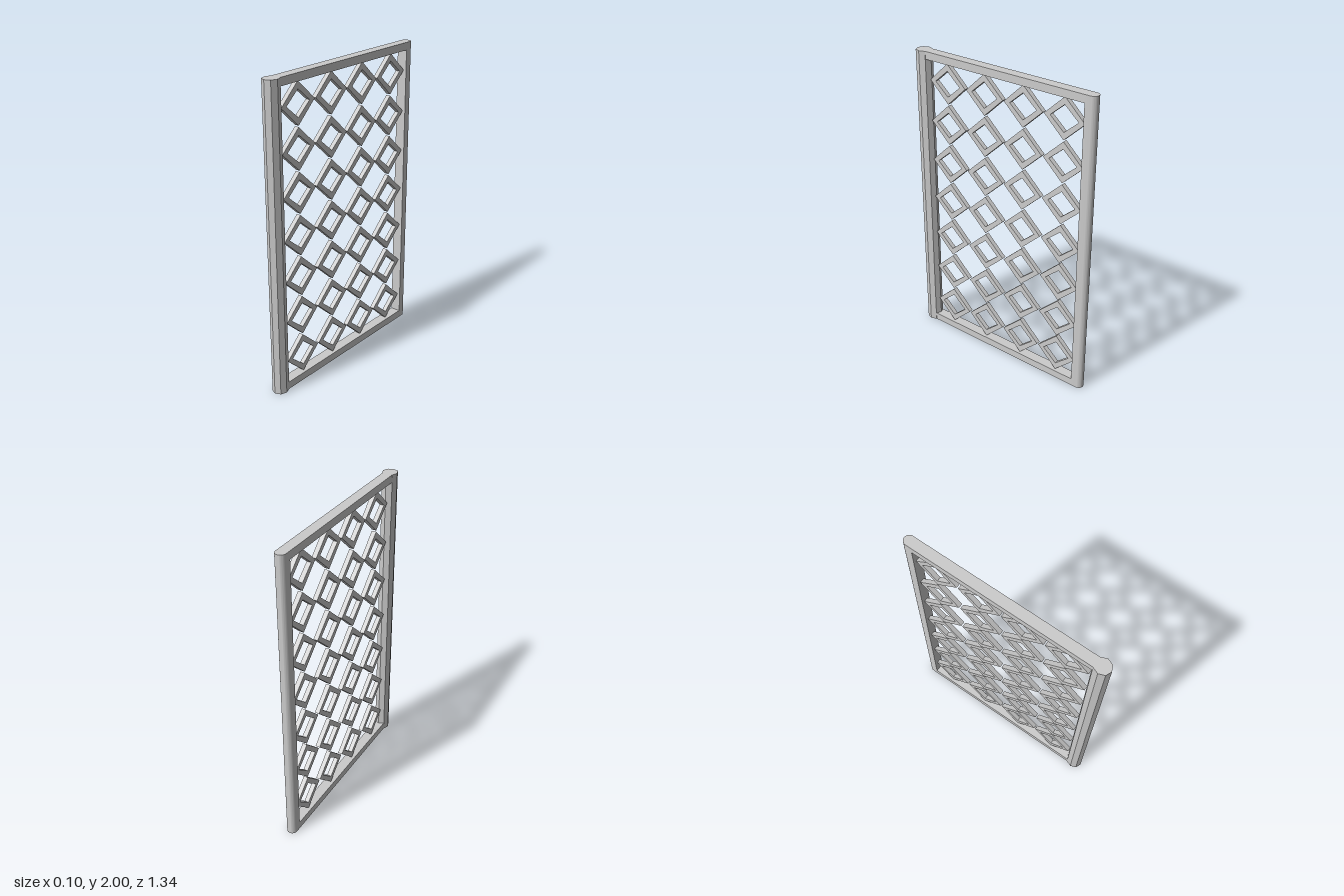
import * as THREE from 'three';
import { toCreasedNormals } from 'three/addons/utils/BufferGeometryUtils.js';

const HEIGHT = 2;
const RAIL = 0.05;      // rail height
const HALF = 0.034;     // half the frame thickness

export function createModel() {
  const group = new THREE.Group();
  const material = new THREE.MeshStandardMaterial({ color: 0xcccccc });

  const add = (name, geometry, x = 0, y = 0, z = 0) => {
    const mesh = new THREE.Mesh(geometry, material);
    mesh.name = name;
    mesh.position.set(x, y, z);
    group.add(mesh);
    return mesh;
  };

  // Upright post from a plan outline; the outline's +y points to -z
  const post = (shape) => {
    const g = new THREE.ExtrudeGeometry(shape, { depth: HEIGHT, bevelEnabled: false, curveSegments: 16 });
    g.rotateX(-Math.PI / 2);
    return toCreasedNormals(g, 0.5);
  };

  // Front post: eight-sided
  const octagon = [];
  for (let i = 0; i < 8; i++) {
    const a = (i * Math.PI) / 4;
    octagon.push(new THREE.Vector2(0.05 * Math.cos(a), 0.055 * Math.sin(a)));
  }
  add('frontPost', post(new THREE.Shape(octagon)), 0, 0, 0.617);

  // Back post: flat inside, rounded outside
  const round = new THREE.Shape();
  round.moveTo(-HALF, -0.036);
  round.lineTo(HALF, -0.036);
  round.lineTo(HALF, 0);
  round.absarc(0, 0, HALF, 0, Math.PI, false);
  round.closePath();
  add('backPost', post(round), 0, 0, -0.638);

  // Top and bottom rails
  const railLength = 1.219;
  const rail = new THREE.BoxGeometry(HALF * 2, RAIL, railLength);
  add('bottomRail', rail, 0, RAIL / 2, -0.602 + railLength / 2);
  add('topRail', rail, 0, HEIGHT - RAIL / 2, -0.602 + railLength / 2);

  // Lattice of open diamonds, 4 columns by 7 rows
  const diamond = (Type, w, h) => new Type([
    new THREE.Vector2(w, 0), new THREE.Vector2(0, h),
    new THREE.Vector2(-w, 0), new THREE.Vector2(0, -h),
  ]);
  const outline = diamond(THREE.Shape, 0.142, 0.132);
  outline.holes.push(diamond(THREE.Path, 0.098, 0.084));
  const depth = 0.03;
  const link = new THREE.ExtrudeGeometry(outline, { depth, bevelEnabled: false });
  link.translate(0, 0, -depth / 2);
  link.rotateY(Math.PI / 2);
  for (let col = 0; col < 4; col++) {
    for (let row = 0; row < 7; row++) {
      add('latticeDiamond', link, 0, 1 + (row - 3) * 0.2725, 0.417 - col * 0.2925);
    }
  }

  return group;
}
